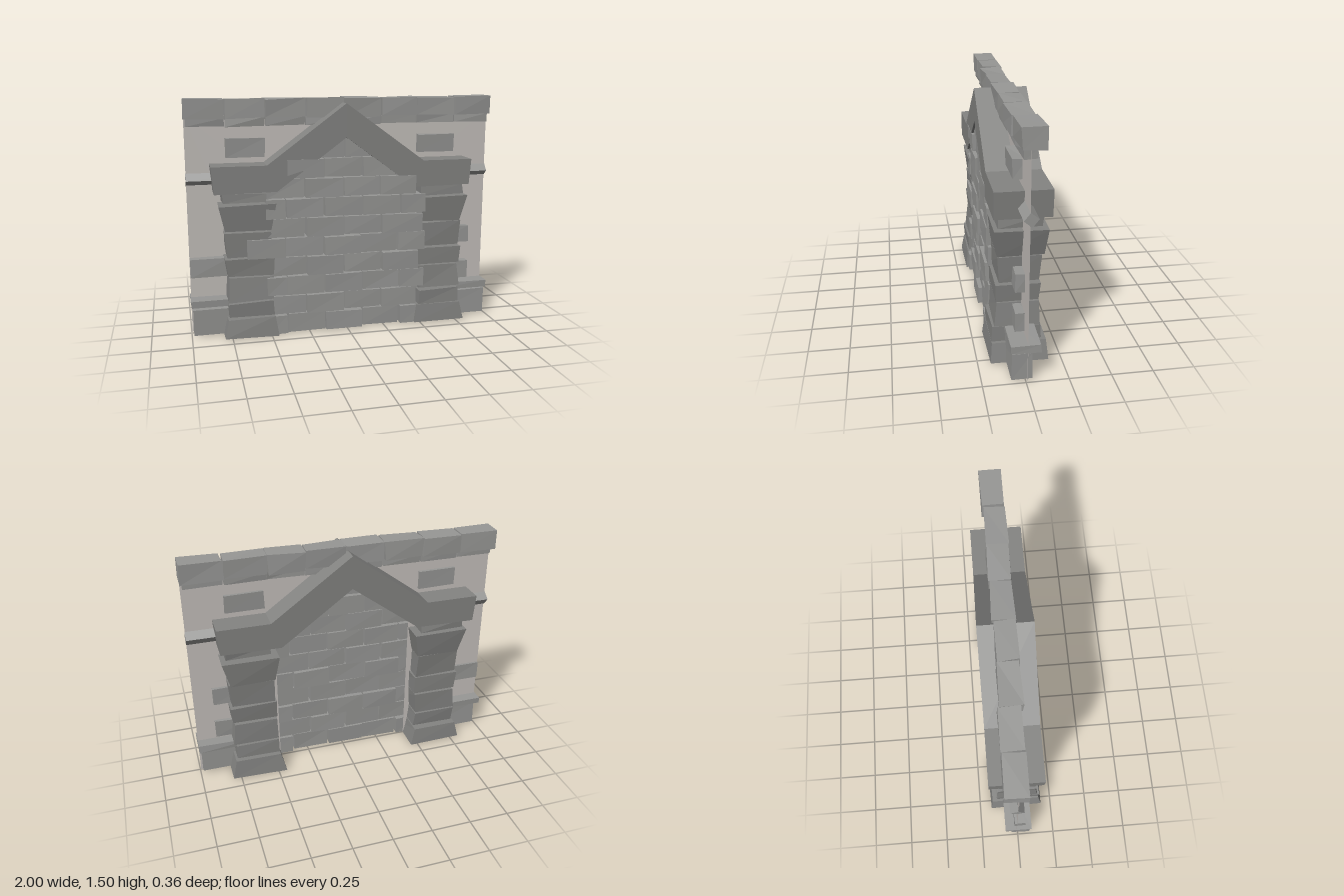
import * as THREE from 'three';

const brickStone = new THREE.MeshStandardMaterial({ color: 0x979795, flatShading: true });
const darkStone = new THREE.MeshStandardMaterial({ color: 0x848482, flatShading: true });
const plaster = new THREE.MeshStandardMaterial({ color: 0xc5c0bc, side: THREE.DoubleSide });

// Seeded random in -1..1
let seed = 7;
const rnd = () => {
  seed = (seed * 16807) % 2147483647;
  return (seed / 2147483647) * 2 - 1;
};

// Hewn block between two corners; the top end can differ, corners wander a little
function block(name, [x0, x1], [y0, y1], [z0, z1], { top = [x0, x1], topZ = [z0, z1], rough = 0.004, mat = brickStone } = {}) {
  const g = new THREE.BoxGeometry(2, 2, 2);
  const p = g.attributes.position;
  const shift = Array.from({ length: 24 }, () => rnd() * rough);
  for (let i = 0; i < p.count; i++) {
    const a = p.getX(i) > 0 ? 1 : 0, b = p.getY(i) > 0 ? 1 : 0, c = p.getZ(i) > 0 ? 1 : 0;
    const k = (a + 2 * b + 4 * c) * 3;
    const xs = b ? top : [x0, x1], zs = b ? topZ : [z0, z1];
    p.setXYZ(i, xs[a] + shift[k], Math.max(0, [y0, y1][b] + shift[k + 1]), zs[c] + shift[k + 2]);
  }
  g.computeVertexNormals();
  const m = new THREE.Mesh(g, mat);
  m.name = name;
  return m;
}

const mirror = (s, [a, b]) => (s > 0 ? [a, b] : [-b, -a]);

function shapeOf(points) {
  return new THREE.Shape(points.map(([x, y]) => new THREE.Vector2(x, y)));
}

export function createModel() {
  seed = 7;
  const model = new THREE.Group();
  model.name = 'stoneGateWall';
  const group = (name) => {
    const g = new THREE.Group();
    g.name = name;
    model.add(g);
    return g;
  };

  // Paper-thin wall panel with a gabled door opening
  const wallShape = shapeOf([
    [-0.995, 0.01], [-0.45, 0.01], [-0.45, 0.97], [0, 1.32], [0.45, 0.97], [0.45, 0.01],
    [0.995, 0.01], [0.995, 1.4], [-0.995, 1.4],
  ]);
  const wall = new THREE.Mesh(new THREE.ShapeGeometry(wallShape), plaster);
  wall.position.z = -0.01;
  wall.name = 'wallPanel';
  model.add(wall);

  // Coping stones with a narrower course beneath
  const coping = group('coping');
  const joints = [-1, -0.75, -0.5, -0.245, 0, 0.25, 0.485, 0.745, 1];
  for (let i = 0; i < 8; i++) {
    const a = joints[i] + 0.003, b = joints[i + 1] - 0.003, dz = rnd() * 0.008;
    coping.add(block('copingStone', [a, b], [1.38, 1.497], [-0.083 + dz, 0.047 + dz], { rough: 0.006 }));
    coping.add(block('underCourse', [Math.max(a, -0.985), Math.min(b, 0.985)], [1.33, 1.385], [-0.045, 0.03]));
  }

  // Gabled arch band
  const archShape = shapeOf([
    [-0.835, 0.93], [-0.45, 0.935], [-0.01, 1.26], [0.44, 0.93], [0.815, 0.935],
    [0.828, 1.1], [0.5, 1.1], [-0.01, 1.47], [-0.51, 1.1], [-0.85, 1.1],
  ]);
  const arch = new THREE.Mesh(new THREE.ExtrudeGeometry(archShape, { depth: 0.33, bevelEnabled: false }), darkStone);
  arch.position.z = -0.172;
  arch.name = 'gableArch';
  model.add(arch);

  // Pillar stones: bottom x, top x, y, bottom z, top z
  const pillarStones = [
    [[0.45, 0.8], [0.475, 0.775], [0.008, 0.13], [-0.175, 0.178], [-0.165, 0.165]],
    [[0.48, 0.765], [0.485, 0.765], [0.138, 0.232], [-0.13, 0.16], [-0.13, 0.16]],
    [[0.485, 0.77], [0.48, 0.76], [0.24, 0.388], [-0.125, 0.145], [-0.12, 0.135]],
    [[0.475, 0.765], [0.475, 0.78], [0.398, 0.513], [-0.11, 0.135], [-0.115, 0.14]],
    [[0.49, 0.765], [0.49, 0.775], [0.523, 0.683], [-0.115, 0.125], [-0.125, 0.13]],
    [[0.485, 0.77], [0.455, 0.81], [0.692, 0.857], [-0.135, 0.135], [-0.155, 0.15]],
    [[0.5, 0.785], [0.5, 0.785], [0.867, 0.928], [-0.125, 0.13], [-0.125, 0.125]],
  ];
  for (const s of [1, -1]) {
    const pillar = group(s > 0 ? 'leftPillar' : 'rightPillar');
    for (const [x, tx, y, z, tz] of pillarStones)
      pillar.add(block('pillarStone', mirror(s, x), y, z, { top: mirror(s, tx), topZ: tz, rough: 0.006, mat: darkStone }));

    // Footing, ledge, diamond rail and upper brick on each flank
    const flank = group(s > 0 ? 'leftFlank' : 'rightFlank');
    flank.add(block('footing', mirror(s, [0.6, 0.985]), [0.015, 0.182], [-0.04, 0.082]));
    flank.add(block('ledge', mirror(s, [0.6, 0.997]), [0.197, 0.243], [-0.085, 0.088]));
    flank.add(block('upperBrick', mirror(s, [0.505, 0.748]), [1.138, 1.255], [-0.03, 0.045]));
    const rail = new THREE.Mesh(new THREE.BoxGeometry(0.45, 0.06, 0.06), brickStone);
    rail.rotation.x = Math.PI / 4 + 0.1;
    rail.position.set(s * 0.772, 1.002, -0.016);
    rail.name = 'diamondRail';
    flank.add(rail);
  }

  // Odd bricks showing beside the pillars
  const odd = group('sideBricks');
  odd.add(block('sideBrick', [0.64, 0.873], [0.512, 0.627], [-0.028, 0.045]));
  odd.add(block('sideBrick', [0.64, 0.873], [0.26, 0.377], [-0.028, 0.045]));
  odd.add(block('sideBrick', [-0.99, -0.75], [0.388, 0.502], [-0.028, 0.045]));

  // Brick infill of the doorway, one list of x ranges per course
  const courses = [
    [[-0.52, -0.398], [-0.39, -0.15], [-0.145, 0.098], [0.108, 0.345], [0.358, 0.52]],
    [[-0.51, -0.275], [-0.268, -0.027], [-0.015, 0.222], [0.232, 0.47]],
    [[-0.52, -0.398], [-0.39, -0.152], [-0.145, 0.098], [0.105, 0.345], [0.353, 0.52]],
    [[-0.5, -0.268], [-0.262, -0.027], [-0.018, 0.222], [0.235, 0.475]],
    [[-0.64, -0.402], [-0.395, -0.158], [-0.15, 0.085], [0.092, 0.33], [0.34, 0.52]],
    [[-0.51, -0.275], [-0.262, -0.027], [-0.018, 0.222], [0.23, 0.5]],
    [[-0.52, -0.398], [-0.39, -0.155], [-0.145, 0.098], [0.108, 0.348], [0.36, 0.52]],
    [[-0.51, -0.28], [-0.268, -0.03], [-0.02, 0.208], [0.215, 0.45]],
    [[-0.385, -0.152], [-0.145, 0.09], [0.1, 0.33]],
    [[-0.2, -0.022], [-0.015, 0.19]],
  ];
  const infill = group('doorwayBricks');
  courses.forEach((row, r) => {
    const y = 0.01 + r * 0.1253;
    row.forEach((x, i) => {
      const front = ((i + r) % 2 ? 0.135 : 0.155) + rnd() * 0.01;
      const back = 0.01 + rnd() * 0.015;
      infill.add(block('doorwayBrick', x, [y, y + 0.119], [back, front], { rough: 0.003 }));
    });
  });

  return model;
}
